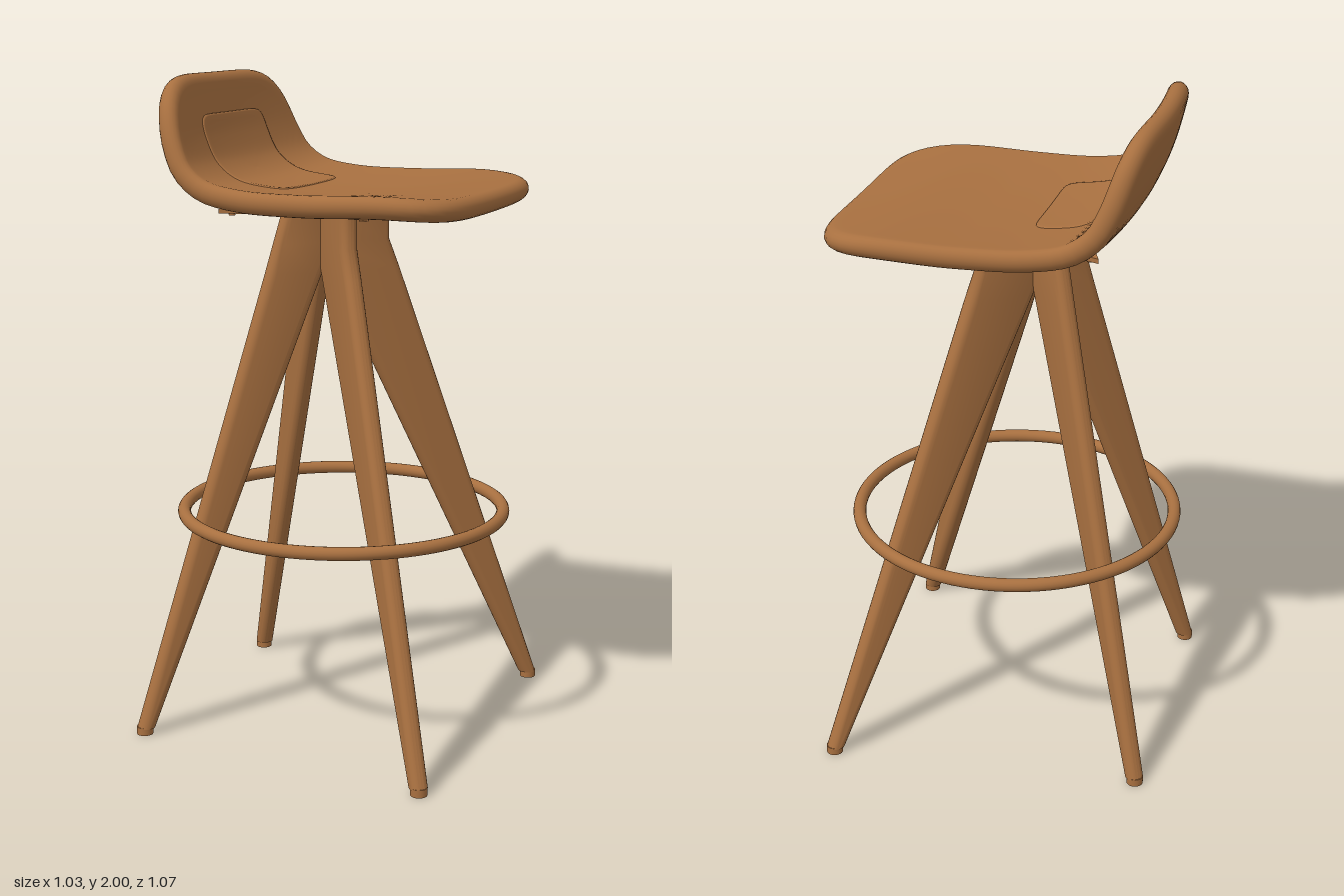
import * as THREE from 'three';
import { toCreasedNormals } from 'three/addons/utils/BufferGeometryUtils.js';

// Skin a list of closed rings (arrays of Vector3 with equal counts)
function loft(rings) {
  const n = rings[0].length, pos = [], idx = [];
  rings.forEach(ring => ring.forEach(p => pos.push(p.x, p.y, p.z)));
  for (let k = 0; k < rings.length - 1; k++) {
    for (let j = 0; j < n; j++) {
      const a = k * n + j, d = k * n + (j + 1) % n;
      idx.push(a, a + n, d + n, a, d + n, d);
    }
  }
  const g = new THREE.BufferGeometry();
  g.setAttribute('position', new THREE.Float32BufferAttribute(pos, 3));
  g.setIndex(idx);
  g.computeVertexNormals();
  return g;
}

// Side profile of the shell, from the front lip to the top of the backrest
const profile = new THREE.CatmullRomCurve3([
  [0.49, 1.64], [0.3, 1.648], [0.05, 1.638], [-0.15, 1.641], [-0.27, 1.665],
  [-0.345, 1.72], [-0.388, 1.8], [-0.418, 1.9], [-0.44, 2.0],
].map(([x, y]) => new THREE.Vector3(x, y, 0)));

const halfWidth = t => 0.48 - 0.075 * t * t;

// Point on the dished shell: t along the profile, z across, h above mid surface
function shellPoint(t, z, h) {
  t = THREE.MathUtils.clamp(t, 0, 1);
  const p = profile.getPointAt(t), d = profile.getTangentAt(t);
  const lift = h + (0.012 + 0.02 * t) * (z / halfWidth(t)) ** 2;
  return new THREE.Vector3(p.x + d.y * lift, p.y - d.x * lift, z);
}

// Rounded-rectangle panel following the shell; steps are [scale, height] pairs
function shellPanel(tMid, tHalf, width, power, steps) {
  const count = 112;
  return loft(steps.map(([rho, h]) => Array.from({ length: count }, (_, j) => {
    const a = j / count * Math.PI * 2, c = Math.cos(a), s = Math.sin(a);
    const r = rho / (Math.abs(c) ** power + Math.abs(s) ** power) ** (1 / power);
    const t = tMid + tHalf * r * c;
    return shellPoint(t, r * s * width(t), h);
  })));
}

// Leg blade in its radial plane; levels are [y, inner, outer, radius]
function legGeometry(levels) {
  const seg = 10;
  const rings = levels.map(([y, inner, outer, rad]) => {
    const ring = [];
    for (let side = 0; side < 2; side++) {
      for (let i = 0; i <= seg; i++) {
        const a = -Math.PI / 2 + side * Math.PI + i / seg * Math.PI;
        ring.push(new THREE.Vector3((side ? inner : outer) + rad * Math.cos(a), y, rad * Math.sin(a)));
      }
    }
    return ring;
  });
  return toCreasedNormals(loft(rings), 0.5);
}

export function createModel() {
  const wood = new THREE.MeshStandardMaterial({ color: 0xa87040 });
  wood.name = 'warm brown wood';
  const model = new THREE.Group();
  model.name = 'barStool';
  const add = (name, geometry, parent = model) => {
    const mesh = new THREE.Mesh(geometry, wood);
    mesh.name = name;
    parent.add(mesh);
    return mesh;
  };

  // Seat and low backrest as one rounded shell
  const half = 0.032, inset = 0.06, steps = [];
  for (let i = 0; i < 24; i++) steps.push([i / 24 * (1 - inset), half]);
  for (let i = 0; i <= 10; i++) {
    const a = Math.PI / 2 - i / 10 * Math.PI;
    steps.push([1 - inset + inset * Math.cos(a), half * Math.sin(a)]);
  }
  for (let i = 23; i >= 0; i--) steps.push([i / 24 * (1 - inset), -half]);
  add('seatShell', shellPanel(0.5, 0.5, halfWidth, 5.5, steps));

  // Pad bent over the join of seat and backrest
  const padSteps = [];
  for (let i = 0; i <= 12; i++) padSteps.push([i / 12 * 0.96, half + 0.004]);
  padSteps.push([0.985, half + 0.003], [1, half - 0.004]);
  add('backPad', shellPanel(0.7, 0.19, () => 0.212, 10, padSteps));

  // Mounting plate with hollowed sides and four screws
  const axisX = -0.06, c = 0.24;
  const plate = new THREE.Shape();
  plate.moveTo(c, c);
  for (const [mx, my, x, y] of [[0, 0.14, -c, c], [-0.14, 0, -c, -c], [0, -0.14, c, -c], [0.14, 0, c, c]]) {
    plate.quadraticCurveTo(mx, my, x, y);
  }
  const plateGeo = new THREE.ExtrudeGeometry(plate, { depth: 0.014, bevelEnabled: false });
  plateGeo.rotateX(-Math.PI / 2);
  add('mountingPlate', plateGeo).position.set(axisX, 1.598, 0);
  for (const x of [-0.21, 0.21]) {
    for (const z of [-0.21, 0.21]) {
      add('plateScrew', new THREE.CylinderGeometry(0.01, 0.01, 0.01, 12)).position.set(axisX + x, 1.597, z);
    }
  }

  // Four splayed blade legs, the front pair reaching further out
  const R = 0.0275;
  const frontLeg = legGeometry([
    [0.02, 0.72, 0.72, 0], [0.02, 0.72, 0.72, R], [1.41, 0.039, 0.215, R],
    [1.5, 0, 0.18, R], [1.615, 0, 0.18, R], [1.615, 0, 0.18, 0],
  ]);
  const rearLeg = legGeometry([
    [0.02, 0.598, 0.598, 0], [0.02, 0.598, 0.598, R], [1.41, 0.039, 0.167, R],
    [1.5, 0, 0.14, R], [1.615, 0, 0.105, R], [1.615, 0, 0.105, 0],
  ]);
  for (let i = 0; i < 4; i++) {
    const front = i === 0 || i === 3;
    const leg = new THREE.Group();
    leg.name = front ? 'frontLeg' : 'rearLeg';
    leg.position.x = axisX;
    leg.rotation.y = Math.PI / 4 + i * Math.PI / 2;
    add('legBlade', front ? frontLeg : rearLeg, leg);
    const glide = add('footGlide', new THREE.CylinderGeometry(0.025, 0.025, 0.024, 24), leg);
    glide.position.set(front ? 0.724 : 0.602, 0.012, 0);
    model.add(leg);
  }

  // Footrest ring around the legs
  const ring = new THREE.TorusGeometry(0.495, 0.02, 16, 96);
  ring.rotateX(Math.PI / 2);
  add('footrestRing', ring).position.y = 0.67;

  return model;
}
